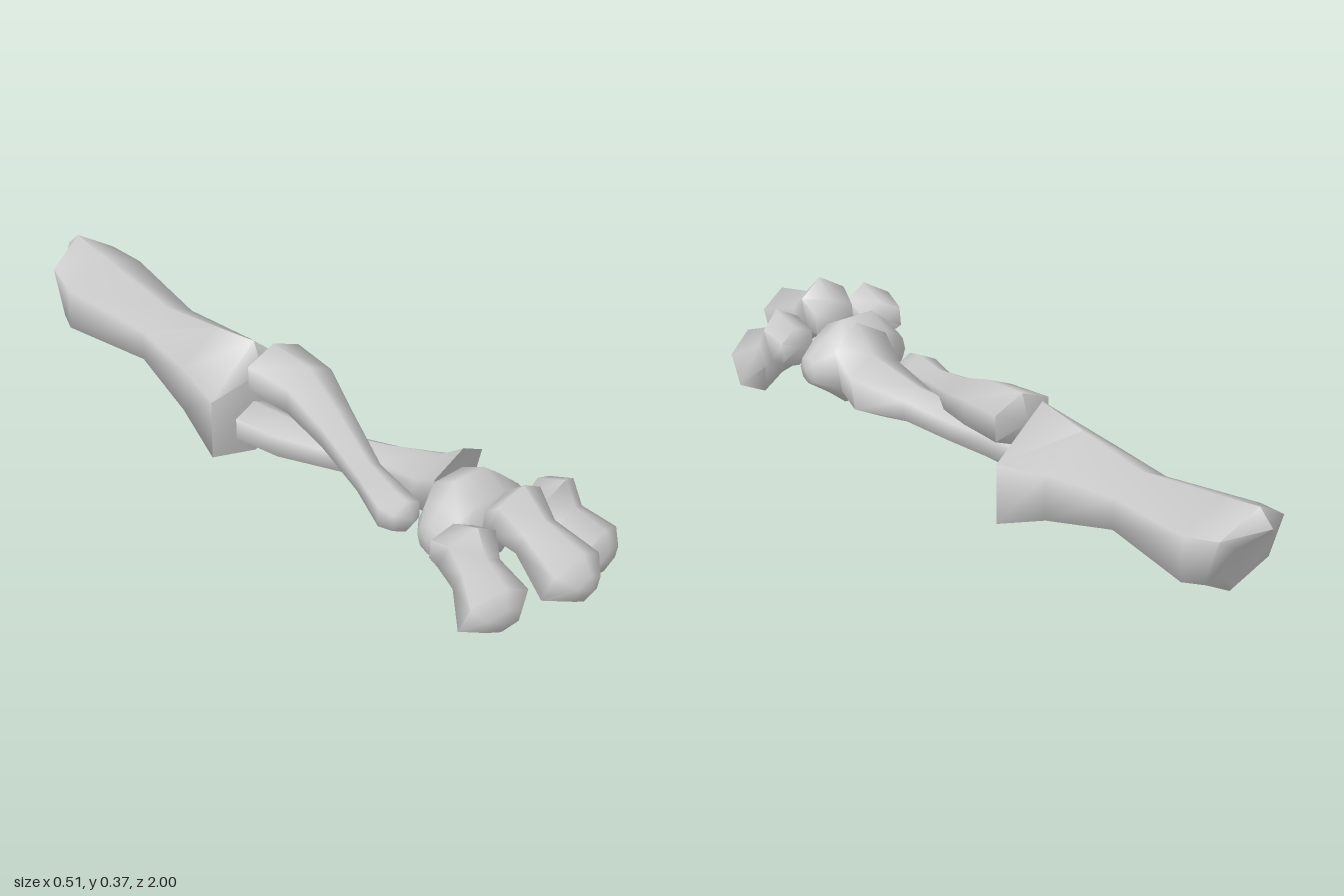
import * as THREE from 'three';
import { toCreasedNormals } from 'three/addons/utils/BufferGeometryUtils.js';

const material = new THREE.MeshStandardMaterial({ color: 0xcccccc });

// Loft through polygon rings ordered by z, closed by two cap points.
// Ring: [z, centreX, bottom, top, halfWidth, tilt]. In tilt, pitch and yaw lean
// the ring, bend curves it along z, and sag lowers its side corners.
function bone(name, rings, startCap, endCap, sides = 6) {
  const pos = [], index = [];
  const angles = Array.from({ length: sides }, (_, k) => Math.PI / 2 + (k * 2 * Math.PI) / sides);
  const widest = Math.max(...angles.map((a) => Math.cos(a)));
  for (const [z, cx, bottom, top, half, tilt = {}] of rings) {
    const { pitch = 0, yaw = 0, bend = 0, sag = 0 } = tilt;
    for (const a of angles) {
      const side = Math.cos(a) / widest;
      const dx = half * side;
      const dy = ((top - bottom) / 2) * Math.sin(a);
      pos.push(
        cx + dx,
        (top + bottom) / 2 + dy - sag * Math.abs(side),
        z + pitch * dy + yaw * dx + bend * dy * dy,
      );
    }
  }
  const last = (rings.length - 1) * sides, s = last + sides, e = s + 1;
  pos.push(...startCap, ...endCap);
  for (let k = 0; k < sides; k++) {
    const n = (k + 1) % sides;
    for (let r = 0; r < last; r += sides) {
      index.push(r + k, r + n, r + sides + k, r + n, r + sides + n, r + sides + k);
    }
    index.push(s, n, k, e, last + k, last + n);
  }
  const geometry = new THREE.BufferGeometry();
  geometry.setAttribute('position', new THREE.Float32BufferAttribute(pos, 3));
  geometry.setIndex(index);
  const mesh = new THREE.Mesh(toCreasedNormals(geometry, 1.3), material);
  mesh.name = name;
  return mesh;
}

export function createModel() {
  const model = new THREE.Group();
  model.name = 'armBones';

  // Upper arm, with a hooked rear end and a deep flared elbow
  model.add(bone('upperArmBone', [
    [-0.915, 0, 0.12, 0.32, 0.06, { pitch: -0.55, bend: -3 }],
    [-0.915, 0, 0.10, 0.36, 0.105, { pitch: -0.31 }],
    [-0.84, 0, 0.095, 0.337, 0.127],
    [-0.56, 0, 0.115, 0.29, 0.087],
    [-0.35, 0, 0.062, 0.317, 0.12, { sag: 0.02 }],
    [-0.195, 0, 0, 0.34, 0.15, { sag: 0.045 }],
  ], [0, 0.22, -0.905], [0, 0.26, -0.162]));

  // Two forearm bones that cross
  model.add(bone('upperForearmBone', [
    [-0.14, 0.02, 0.2, 0.348, 0.088],
    [0, 0.02, 0.195, 0.335, 0.077],
    [0.14, -0.01, 0.17, 0.28, 0.055],
    [0.31, -0.06, 0.14, 0.228, 0.04],
    [0.43, -0.09, 0.11, 0.22, 0.053],
    [0.475, -0.09, 0.12, 0.21, 0.045],
  ], [0.02, 0.275, -0.165], [-0.09, 0.165, 0.5]));
  model.add(bone('lowerForearmBone', [
    [-0.14, -0.05, 0.08, 0.2, 0.062],
    [0, -0.035, 0.083, 0.2, 0.057],
    [0.12, 0, 0.095, 0.2, 0.052],
    [0.27, 0.04, 0.11, 0.22, 0.05],
    [0.42, 0.065, 0.09, 0.262, 0.083, { pitch: 0.2 }],
    [0.495, 0.053, 0.11, 0.325, 0.092, { pitch: 0.25, yaw: -0.1 }],
  ], [-0.05, 0.14, -0.16], [0.053, 0.2, 0.46]));

  // Rounded wrist, lofted along z and then turned sideways
  const wrist = bone('wristBone', [
    [-0.137, -0.595, 0.14, 0.22, 0.035],
    [-0.095, -0.6, 0.1, 0.27, 0.078],
    [-0.05, -0.595, 0.058, 0.308, 0.1],
    [0.05, -0.595, 0.058, 0.308, 0.102],
    [0.1, -0.6, 0.1, 0.27, 0.085],
    [0.158, -0.615, 0.14, 0.22, 0.035],
  ], [-0.595, 0.18, -0.143], [-0.615, 0.18, 0.166], 8);
  wrist.rotation.y = Math.PI / 2;
  model.add(wrist);

  // Three drooping toes: middle one longer, outer pair splayed
  model.add(bone('middleToe', [
    [0.705, 0, 0.2, 0.315, 0.063, { pitch: 0.1 }],
    [0.745, 0, 0.19, 0.365, 0.072, { pitch: 0.3 }],
    [0.815, 0, 0.18, 0.3, 0.052, { pitch: 0.42 }],
    [0.93, 0, 0.103, 0.27, 0.077, { pitch: 0.42 }],
    [0.985, 0, 0.14, 0.22, 0.038, { pitch: 0.2 }],
  ], [0, 0.26, 0.69], [0, 0.18, 1]));
  for (const side of [-1, 1]) {
    const yaw = -0.2 * side;
    model.add(bone(side > 0 ? 'leftToe' : 'rightToe', [
      [0.68, 0.145 * side, 0.17, 0.278, 0.058, { pitch: 0.1, yaw }],
      [0.735, 0.15 * side, 0.16, 0.31, 0.065, { pitch: 0.45, yaw }],
      [0.775, 0.155 * side, 0.125, 0.245, 0.053, { pitch: 0.45, yaw }],
      [0.85, 0.173 * side, 0.048, 0.212, 0.08, { pitch: 0.45, yaw }],
      [0.892, 0.18 * side, 0.09, 0.16, 0.045, { pitch: 0.2, yaw }],
    ], [0.142 * side, 0.225, 0.668], [0.183 * side, 0.125, 0.9]));
  }
  return model;
}
